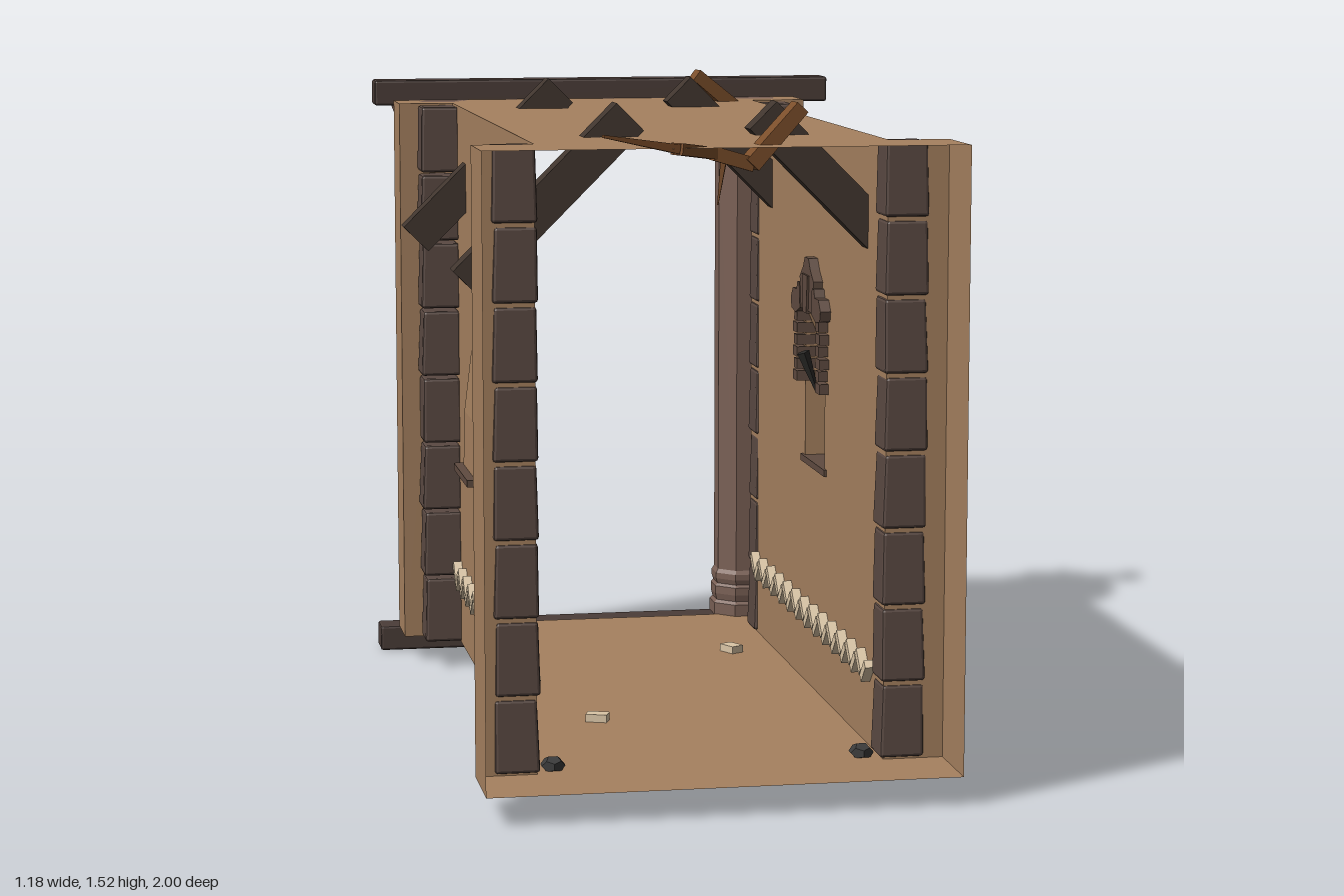
import * as THREE from 'three';
import { RoundedBoxGeometry } from 'three/addons/geometries/RoundedBoxGeometry.js';

const CX = -0.022, Y0 = 0.07, Y1 = 1.437;        // corridor axis, floor and ceiling heights
const Z_BACK = -0.84, Z_IN_B = -0.70, Z_IN_F = 0.77, Z_FRONT = 0.955;
const D_IN = 0.385, D_OUT = 0.52, WIN_Z = 0.06;  // wall offsets from the axis, window centre

const mat = (color, double) => new THREE.MeshStandardMaterial({
  color, flatShading: true, side: double ? THREE.DoubleSide : THREE.FrontSide });
const M = {
  wall: mat(0xa6815f, true), stone: mat(0x5a4942), column: mat(0x7a6055), beam: mat(0x4b3d38),
  brace: mat(0x41362f), plank: mat(0x7d4f2b), trim: mat(0xdac5a6), iron: mat(0x2b2a28),
  flame: mat(0xe08a1a), frame: mat(0x5f4b40), rock: mat(0x3a3a3a),
};

let seed = 7;
const rand = () => (seed = (seed * 16807) % 2147483647) / 2147483647 - 0.5;

function add(parent, name, geo, material, x = 0, y = 0, z = 0) {
  const m = new THREE.Mesh(geo, material);
  m.name = name;
  m.position.set(x, y, z);
  parent.add(m);
  return m;
}

function shape(points) {
  return new THREE.Shape(points.map(p => new THREE.Vector2(p[0], p[1])));
}

// Flat shape drawn as (z, y), standing at x = 0
const sideSheet = s => new THREE.ShapeGeometry(s).rotateY(-Math.PI / 2);

// Shape drawn as (z, y), given a thickness across x
const sideSlab = (s, t) => new THREE.ExtrudeGeometry(s, { depth: t, bevelEnabled: false })
  .translate(0, 0, -t / 2).rotateY(-Math.PI / 2);

// Splintered bar between two points, narrowing to the far end
function bar(parent, name, a, b, w, t, taper, material) {
  const p = new THREE.Vector3(...a), q = new THREE.Vector3(...b);
  const geo = new THREE.BoxGeometry(w, t, p.distanceTo(q));
  const pos = geo.attributes.position;
  for (let i = 0; i < pos.count; i++) if (pos.getZ(i) > 0) {
    pos.setX(i, pos.getX(i) * taper);
    pos.setY(i, pos.getY(i) * taper);
  }
  const m = add(parent, name, geo, material);
  m.position.copy(p).add(q).multiplyScalar(0.5);
  m.lookAt(q);
}

// Floor and ceiling share the stepped plan
function slab(g, name, y) {
  const half = [[D_OUT, Z_BACK], [D_OUT, Z_IN_B], [D_IN, Z_IN_B], [D_IN, Z_IN_F], [D_OUT, Z_IN_F], [D_OUT, Z_FRONT]];
  const pts = [...half, ...half.slice().reverse().map(([x, z]) => [-x, z])];
  add(g, name, new THREE.ShapeGeometry(shape(pts)).rotateX(Math.PI / 2), M.wall, CX, y, 0);
}

// Stepped wall with a window opening
function wall(g, s) {
  const main = shape([[Z_IN_B, Y0], [Z_IN_F, Y0], [Z_IN_F, Y1], [Z_IN_B, Y1]]);
  const w = 0.105;
  main.holes.push(new THREE.Path([[-w, 0.62], [-w, 0.98], [w, 0.98], [w, 0.62]]
    .map(p => new THREE.Vector2(WIN_Z + p[0], p[1]))));
  add(g, 'wall', sideSheet(main), M.wall, CX + s * D_IN);
  for (const [a, b] of [[Z_BACK, Z_IN_B], [Z_IN_F, Z_FRONT]])
    add(g, 'wallEnd', sideSheet(shape([[a, Y0], [b, Y0], [b, Y1], [a, Y1]])), M.wall, CX + s * D_OUT);
  for (const z of [Z_IN_B, Z_IN_F])
    add(g, 'wallStep', new THREE.PlaneGeometry(D_OUT - D_IN, Y1 - Y0), M.wall,
      CX + s * (D_IN + D_OUT) / 2, (Y0 + Y1) / 2, z);
}

// Bulging window niche with sill, jamb stones and hood
function windowNiche(parent, s) {
  const g = new THREE.Group();
  g.name = 'window';
  g.position.set(CX + s * D_IN, 0, WIN_Z);
  g.scale.x = s;
  parent.add(g);
  const prof = [[0, 0.98], [0.038, 0.89], [0.055, 0.75], [0.058, 0.62]];
  const back = new THREE.PlaneGeometry(0.21, 1, 1, 3).rotateY(Math.PI / 2);
  const pos = back.attributes.position;
  for (let i = 0; i < pos.count; i++) {
    const [x, y] = prof[Math.floor(i / 2)];
    pos.setX(i, x);
    pos.setY(i, y);
  }
  add(g, 'nicheBack', back, M.wall);
  for (const k of [-1, 1])
    add(g, 'nicheSide', new THREE.ShapeGeometry(shape([...prof, [0, 0.62]])), M.wall, 0, 0, k * 0.105);
  add(g, 'sill', new THREE.BoxGeometry(0.085, 0.016, 0.26), M.frame, 0.036, 0.614, 0);
  // Hood built of mirrored stones around a peaked centre
  add(g, 'hoodCrown', sideSlab(shape([[-0.07, 0.985], [-0.075, 1.06], [-0.04, 1.085], [-0.02, 1.11],
    [0.02, 1.11], [0.04, 1.085], [0.075, 1.06], [0.07, 0.985]]), 0.045), M.frame);
  add(g, 'keystone', sideSlab(shape([[-0.02, 0.98], [-0.03, 1.07], [0.03, 1.07], [0.02, 0.98]]), 0.055), M.frame);
  const lobe = [[0.06, 0.985], [0.07, 1.045], [0.09, 1.045], [0.10, 1.025], [0.14, 1.025],
    [0.162, 1.0], [0.155, 0.975], [0.11, 0.968]];
  for (const k of [-1, 1]) {
    add(g, 'hoodEnd', sideSlab(shape(lobe.map(([z, y]) => [z * k, y])), 0.05), M.frame);
    for (let i = 0; i < 6; i++)
      add(g, 'jambStone', new THREE.BoxGeometry(0.045, 0.024, i % 2 ? 0.032 : 0.045), M.frame,
        0, 0.815 + i * 0.029, k * (0.118 + (i % 2 ? 0 : 0.005)));
  }
  // Bracket standing in the niche, lit on one side only
  const cone = add(g, 'torchBracket', new THREE.CylinderGeometry(0.016, 0.004, 0.1, 5), M.iron, -0.013, 0.838, 0);
  cone.rotation.z = 0.35;
  if (s < 0) add(g, 'flame', new THREE.ConeGeometry(0.016, 0.055, 5), M.flame, -0.012, 0.905, 0);
}

// Stack of rough stone blocks
function pilaster(g, s, z) {
  const n = 8, pitch = (Y1 - Y0) / n;
  for (let i = 0; i < n; i++) {
    const h = pitch - 0.008, geo = new RoundedBoxGeometry(0.096, h, 0.09, 1, 0.007);
    const pos = geo.attributes.position, lean = rand() * 0.04;
    for (let k = 0; k < pos.count; k++) {
      const f = 1 - pos.getY(k) * 0.45;
      pos.setX(k, pos.getX(k) * f + lean * pos.getY(k));
      pos.setZ(k, pos.getZ(k) * f);
    }
    add(g, 'pilasterBlock', geo, M.stone, CX + s * (0.428 + rand() * 0.004), Y0 + pitch * (i + 0.5), z);
  }
}

// Eight-sided column with moulded foot and flared capital
function column(g, s) {
  const prof = [[0, 0.065], [0.08, 0.065], [0.08, 0.10], [0.073, 0.108], [0.077, 0.125], [0.077, 0.145],
    [0.071, 0.152], [0.075, 0.165], [0.075, 0.18], [0.069, 0.19], [0.069, 1.27], [0.08, 1.32],
    [0.12, 1.42], [0.12, 1.437], [0, 1.437]];
  const c = Math.cos(Math.PI / 8);
  const geo = new THREE.LatheGeometry(prof.map(([r, y]) => new THREE.Vector2(r / c, y)), 8).rotateY(Math.PI / 8);
  add(g, 'column', geo, M.column, CX + s * 0.398, 0, -0.88);
}

// Herringbone band of small bricks
function trimBand(g, s) {
  const n = 26, z0 = 0.655, z1 = -0.575;
  for (let i = 0; i < n; i++) {
    const b = add(g, 'trimBrick', new THREE.BoxGeometry(0.042, 0.02, 0.058), M.trim,
      CX + s * D_IN, 0.25 + (i % 2 ? 0.006 : -0.006), z0 + (z1 - z0) * i / (n - 1));
    b.rotation.x = (i % 2 ? 1 : -1) * Math.PI / 4;
  }
}

export function createModel() {
  const g = new THREE.Group();
  g.name = 'corridor';
  slab(g, 'floor', Y0);
  slab(g, 'ceiling', Y1);

  for (const s of [-1, 1]) {
    wall(g, s);
    windowNiche(g, s);
    pilaster(g, s, 0.73);
    pilaster(g, s, -0.65);
    column(g, s);
    trimBand(g, s);
    // Diagonal braces poking through wall and ceiling
    for (const z of [0.557, -0.472]) {
      const b = add(g, 'brace', new THREE.BoxGeometry(0.51, 0.085, 0.062), M.brace, CX + s * 0.328, 1.3, z);
      b.rotation.z = -s * Math.PI / 4;
    }
    add(g, 'rubble', new THREE.DodecahedronGeometry(0.028), M.rock, CX + s * 0.345, 0.08, 0.73).scale.y = 0.7;
  }

  // Cross beams framing the open back
  add(g, 'topBeam', new RoundedBoxGeometry(1.18, 0.064, 0.08, 1, 0.006), M.beam, 0, 1.456, -0.88);
  add(g, 'bottomBeam', new RoundedBoxGeometry(1.18, 0.064, 0.08, 1, 0.006), M.beam, 0, 0.037, -0.88);

  // Broken planks
  bar(g, 'brokenPlank', [-0.13, 1.435, 0.935], [-0.295, 1.467, 0.992], 0.03, 0.02, 0.3, M.plank);
  bar(g, 'brokenPlank', [-0.13, 1.435, 0.935], [-0.04, 1.42, 0.87], 0.035, 0.025, 1, M.plank);
  bar(g, 'brokenPlank', [-0.04, 1.42, 0.87], [0.045, 1.395, 0.86], 0.035, 0.03, 1, M.plank);
  bar(g, 'brokenPlank', [0.04, 1.395, 0.86], [0.15, 1.515, 0.85], 0.05, 0.035, 0.9, M.plank);
  bar(g, 'brokenPlank', [0.31, 1.42, -0.68], [0.205, 1.505, -0.66], 0.045, 0.035, 0.9, M.plank);
  bar(g, 'brokenPlank', [0.305, 1.43, -0.68], [0.272, 1.17, -0.69], 0.04, 0.03, 0.1, M.plank);

  // Fallen trim bricks
  for (const [x, z, r] of [[0.25, -0.38, 0.5], [-0.2, 0.3, 1.2]])
    add(g, 'fallenBrick', new THREE.BoxGeometry(0.035, 0.02, 0.05), M.trim, x, 0.078, z).rotation.y = r;
  return g;
}
